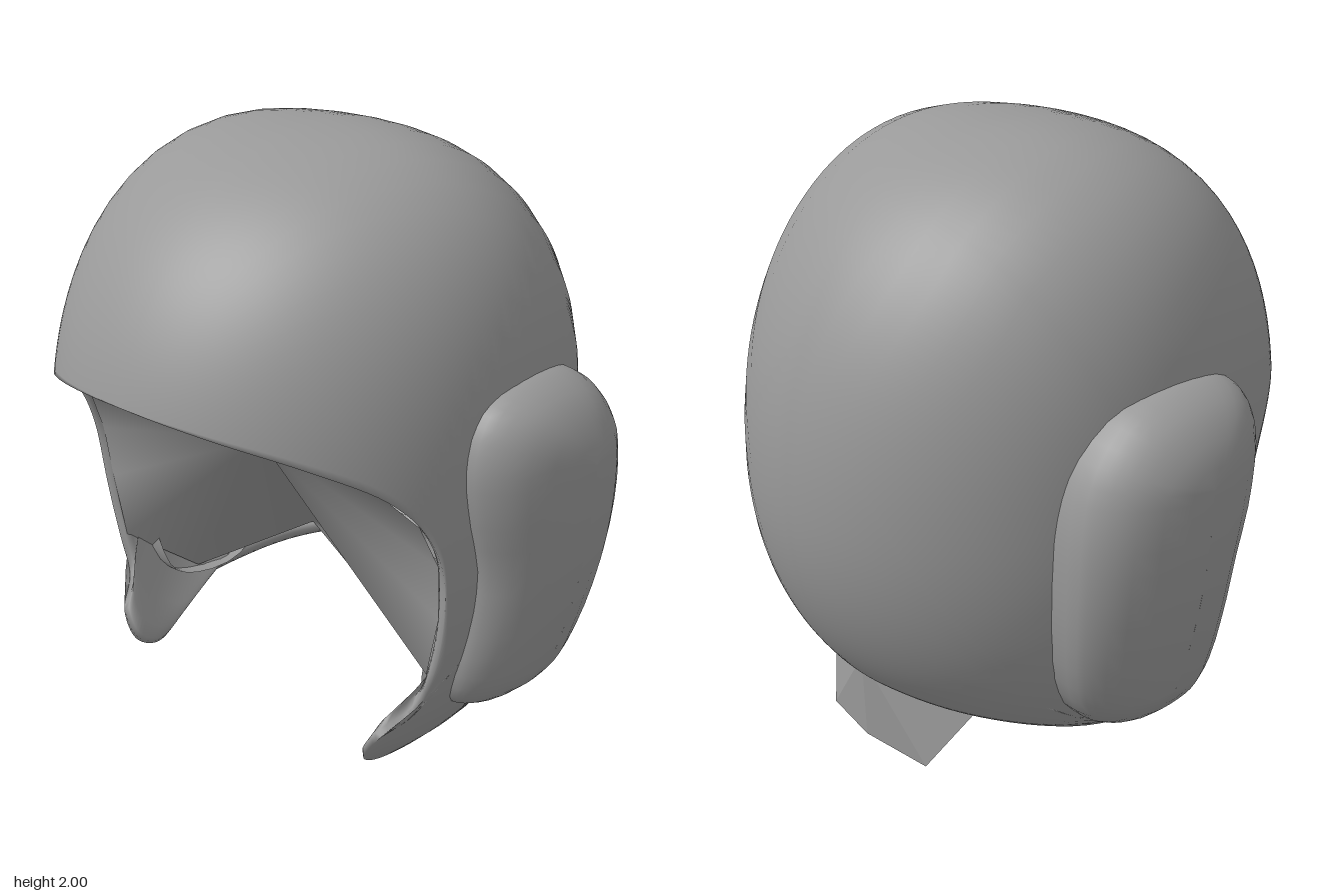
import * as THREE from 'three';
import { mergeGeometries } from 'three/addons/utils/BufferGeometryUtils.js';

const CENTRE = new THREE.Vector3(0, 0.95, 0);
const V = (x, y, z) => new THREE.Vector3(x, y, z);

// Superellipse half-width of the dome at a height, with its own upper and lower reach
function halfWidth(y, size, upperPower, lowerPower, lower) {
  const d = y - CENTRE.y;
  const t = Math.min(1, d > 0 ? d / 1.05 : -d / lower);
  const power = d > 0 ? upperPower : lowerPower;
  return Math.max(1e-4, size * Math.pow(1 - Math.pow(t, power), 1 / power));
}

// Below 1 inside the dome, above 1 outside it
function domeLevel(p) {
  const X = halfWidth(p.y, 0.82, 2.9, 2.2, 1.15);
  const Z = p.z > 0 ? halfWidth(p.y, 0.92, 2.2, 2.2, 1.9) : halfWidth(p.y, 0.867, 2.1, 2.1, 0.96);
  return Math.hypot(p.x / X, p.z / Z);
}

// Point where a ray from the centre leaves the dome
function onDome(dir) {
  let lo = 0.2, hi = 1.6;
  for (let i = 0; i < 30; i++) {
    const mid = (lo + hi) / 2;
    const p = dir.clone().multiplyScalar(mid).add(CENTRE);
    const outside = p.y >= 2 || domeLevel(p) > 1;
    if (outside) hi = mid; else lo = mid;
  }
  return dir.clone().multiplyScalar(lo).add(CENTRE);
}

function slerp(a, b, t) {
  const w = a.angleTo(b);
  if (w < 1e-3) return a.clone().lerp(b, t).normalize();
  return a.clone().multiplyScalar(Math.sin((1 - t) * w) / Math.sin(w))
    .addScaledVector(b, Math.sin(t * w) / Math.sin(w)).normalize();
}

function indexedGeometry(points, index) {
  const g = new THREE.BufferGeometry().setFromPoints(points);
  g.setIndex(index);
  g.computeVertexNormals();
  return g;
}

// Surface through rows of points
function gridGeometry(rows, closed = false) {
  const n = rows[0].length, index = [];
  for (let i = 0; i < rows.length - 1; i++) {
    for (let j = 0; j < (closed ? n : n - 1); j++) {
      const k = (j + 1) % n;
      const a = i * n + j, b = i * n + k, c = (i + 1) * n + k, d = (i + 1) * n + j;
      index.push(a, b, c, a, c, d);
    }
  }
  return indexedGeometry(rows.flat(), index);
}

// One side of the rim: brow, face opening, chin tab, bottom edge, nape
const rimPoints = [
  [0, 1.33, 0.87], [0.3, 1.3, 0.8], [0.5, 1.23, 0.63], [0.64, 1.12, 0.47], [0.71, 1.0, 0.38],
  [0.74, 0.85, 0.32], [0.74, 0.65, 0.3], [0.69, 0.42, 0.29], [0.64, 0.29, 0.3],
  [0.58, 0.21, 0.4], [0.54, 0.12, 0.41], [0.54, 0.065, 0.33], [0.55, 0.07, 0.2],
  [0.6, 0.14, 0.03], [0.6, 0.18, -0.25], [0.45, 0.23, -0.45], [0.2, 0.28, -0.62], [0, 0.29, -0.66],
].map(([x, y, z]) => {
  const s = 1 / domeLevel(V(x, y, z));
  return V(x * s, y, z * s);
});

// Angle along the middle line (degrees) from which the arc to each part of the rim starts
const arcStarts = [[0, 23.6], [0.47, 118], [0.7, 146], [0.82, 174], [1, 225]];
function arcStart(u) {
  const i = Math.max(1, arcStarts.findIndex(([v]) => v >= u));
  const [u0, a0] = arcStarts[i - 1], [u1, a1] = arcStarts[i];
  return THREE.MathUtils.degToRad(THREE.MathUtils.mapLinear(u, u0, u1, a0, a1));
}

// Shell: arcs from the middle line out to the rim on both sides, rolled inward at the edge
function shellGeometry() {
  const curve = new THREE.CatmullRomCurve3(rimPoints, false, 'centripetal');
  const half = [];
  for (let i = 0; i <= 20; i++) half.push([i / 20, 1]);
  half.push([1, 0.975], [0.985, 0.955], [0.94, 0.95], [0.82, 0.95]);
  const across = [
    ...half.slice(1).reverse().map(([w, s]) => [w, s, -1]),
    ...half.map(([w, s]) => [w, s, 1]),
  ];
  const rows = [], N = 100;
  for (let i = 0; i <= N; i++) {
    const u = i / N, a = arcStart(u);
    const middle = V(0, Math.sin(a), Math.cos(a));
    const rim = curve.getPoint(u).sub(CENTRE).normalize();
    rows.push(across.map(([w, s, side]) => {
      const p = onDome(slerp(middle, rim, w)).sub(CENTRE).multiplyScalar(s).add(CENTRE);
      p.x *= side;
      return p;
    }));
  }
  return gridGeometry(rows);
}

// Liner: a coarse fan from one inner point to the rim
function linerGeometry() {
  const inner = rimPoints.slice(0, 8).map(p =>
    p.clone().sub(CENTRE).multiplyScalar(0.965).add(CENTRE));
  const side = [...inner, V(0.6, 0.23, 0.02), V(0.42, 0.3, -0.42)];
  const loop = [...side, ...side.slice(1).reverse().map(p => V(-p.x, p.y, p.z))];
  const n = loop.length;
  return indexedGeometry([...loop, V(0, 1.03, 0.3)], loop.flatMap((_, i) => [n, (i + 1) % n, i]));
}

// Wedge hanging below the nape: front facets, then back facets up to the shell
function napeWedgeGeometry() {
  const L = V(0.42, 0.3, -0.42), R = V(-0.42, 0.3, -0.42);
  const l = V(0.25, 0, -0.56), m = V(0, 0.02, -0.61), r = V(-0.25, 0, -0.56), top = V(0, 0.32, -0.62);
  const flat = points => {
    const g = new THREE.BufferGeometry().setFromPoints(points);
    g.computeVertexNormals();
    return g;
  };
  return mergeGeometries([
    flat([L, R, m, R, r, m, L, m, l]),
    flat([top, r, R, top, m, r, top, l, m, top, L, l]),
  ]);
}

// Ear cup: side outline (z, y) shrinking to an upright spine over a crown that leans in below
function earCupGeometry(side) {
  const outline = new THREE.CatmullRomCurve3([
    [0.17, 1.34], [0.05, 1.37], [-0.12, 1.365], [-0.26, 1.32], [-0.37, 1.2], [-0.42, 1.06],
    [-0.435, 0.88], [-0.42, 0.65], [-0.37, 0.44], [-0.28, 0.29], [-0.14, 0.22], [0.05, 0.23],
    [0.16, 0.28], [0.2, 0.4], [0.2, 0.6], [0.205, 0.8], [0.25, 1.0], [0.265, 1.15], [0.235, 1.27],
  ].map(([z, y]) => V(0, y, z)), true).getPoints(48).slice(0, -1);
  // Shrink factor and how far the ring sinks into the shell
  const rings = [[1, 0.1], ...[1, 0.98, 0.95, 0.9, 0.82, 0.7, 0.5, 0.25, 0].map(k => [k, 0])];
  const rows = rings.map(([k, sink]) => outline.map(o => {
    const spine = V(0, THREE.MathUtils.clamp(o.y, 0.4, 1.12), -0.09);
    const p = spine.lerp(o, k);
    const drop = 1.1 - Math.min(p.y, 1.1);
    const depth = 0.24 - 0.08 * drop;
    p.x = side * (1 - 0.23 * drop * drop - depth * (1 - Math.sqrt(1 - k * k)) - sink);
    return p;
  }));
  return gridGeometry(rows, true);
}

export function createModel() {
  const model = new THREE.Group();
  model.name = 'helmet';
  const material = new THREE.MeshStandardMaterial({ color: 0x999999, side: THREE.DoubleSide });
  const add = (name, geometry) => {
    const mesh = new THREE.Mesh(geometry, material);
    mesh.name = name;
    model.add(mesh);
  };
  add('shell', shellGeometry());
  add('liner', linerGeometry());
  add('napeWedge', napeWedgeGeometry());
  add('leftEarCup', earCupGeometry(1));
  add('rightEarCup', earCupGeometry(-1));
  return model;
}
